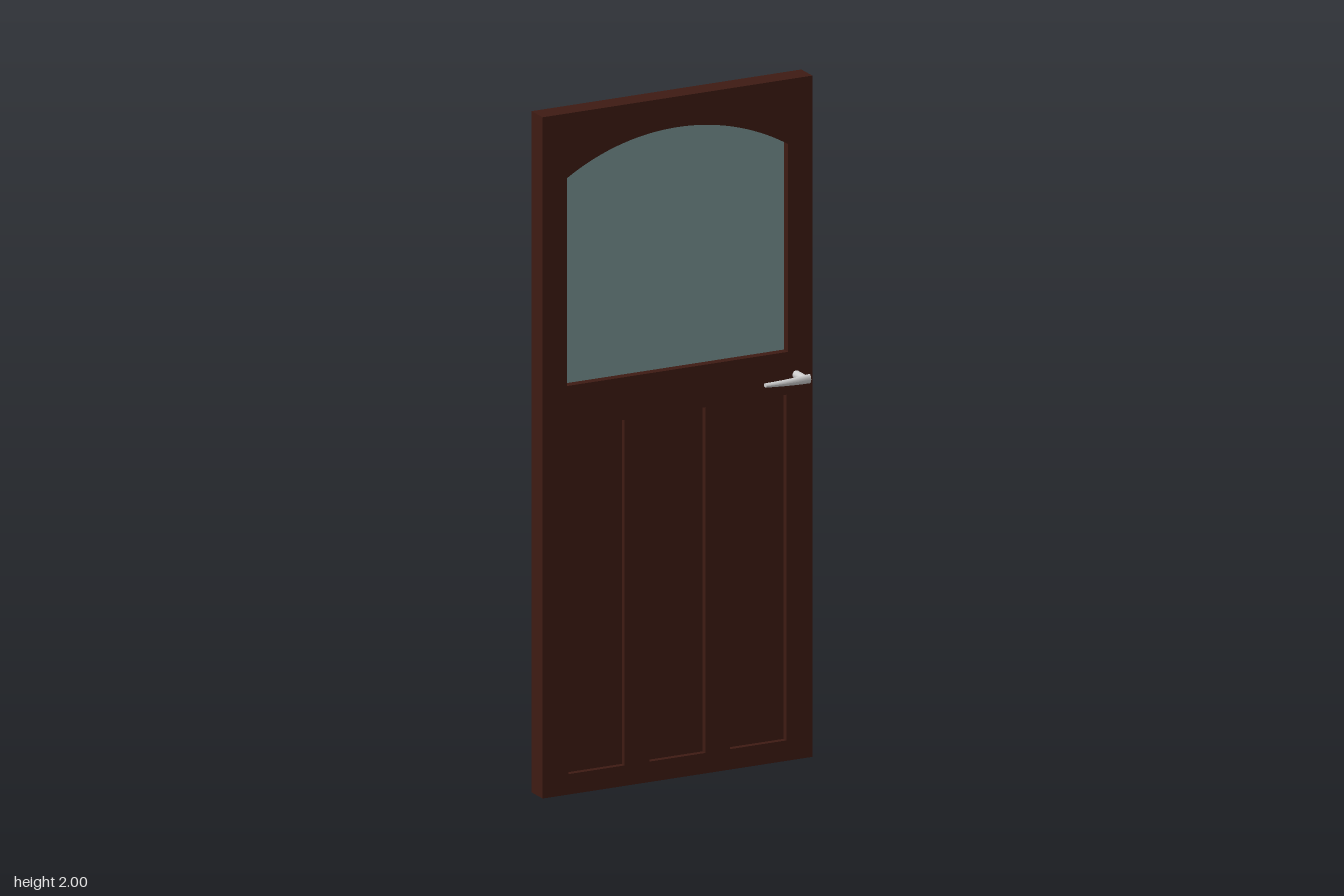
import * as THREE from 'three';

const WIDTH = 0.854, HEIGHT = 2, DEPTH = 0.066;

// Rectangle outline, used for the door slab and its panel openings
function rect(target, x0, x1, y0, y1) {
  target.moveTo(x0, y0);
  target.lineTo(x1, y0);
  target.lineTo(x1, y1);
  target.lineTo(x0, y1);
  target.closePath();
  return target;
}

// Window outline with a shallow circular arch on top
function archedWindow(target) {
  const half = 0.35, sill = 1.2, spring = 1.81, crown = 1.91;
  const rise = crown - spring;
  const radius = (half * half + rise * rise) / (2 * rise);
  const angle = Math.asin(half / radius);
  target.moveTo(-half, sill);
  target.lineTo(half, sill);
  target.lineTo(half, spring);
  target.absarc(0, crown - radius, radius, Math.PI / 2 - angle, Math.PI / 2 + angle, false);
  target.closePath();
  return target;
}

function extrude(shape, depth) {
  const geo = new THREE.ExtrudeGeometry(shape, { depth, bevelEnabled: false, curveSegments: 32 });
  return geo.translate(0, 0, -depth / 2);
}

// Lever grip: a cylinder laid along x, tapered in height and bowed outwards
function gripGeometry() {
  const x0 = 0.25, x1 = 0.391;
  const geo = new THREE.CylinderGeometry(1, 1, 1, 24, 16);
  const pos = geo.attributes.position;
  for (let i = 0; i < pos.count; i++) {
    const t = pos.getY(i) + 0.5; // 0 at the spindle, 1 at the tip
    const ry = THREE.MathUtils.lerp(0.0135, 0.006, t);
    const rz = THREE.MathUtils.lerp(0.0095, 0.008, t);
    const bow = 0.004 * Math.sin(Math.PI * t);
    const a = pos.getX(i), b = pos.getZ(i);
    pos.setXYZ(i, THREE.MathUtils.lerp(x1, x0, t), a * ry, b * rz + bow);
  }
  geo.computeVertexNormals();
  return geo;
}

export function createModel() {
  const door = new THREE.Group();
  door.name = 'door';
  const wood = new THREE.MeshStandardMaterial({ color: 0x3e1b13 });
  const glass = new THREE.MeshStandardMaterial({ color: 0x7a9594 });
  const metal = new THREE.MeshStandardMaterial({ color: 0xcccccc });

  const add = (parent, name, geometry, material) => {
    const mesh = new THREE.Mesh(geometry, material);
    mesh.name = name;
    parent.add(mesh);
    return mesh;
  };

  // Frame with openings for the window and three lower panels
  const panels = [[-0.345, -0.167], [-0.088, 0.088], [0.167, 0.345]];
  const y0 = 0.06, y1 = 1.075;
  const outline = rect(new THREE.Shape(), -WIDTH / 2, WIDTH / 2, 0, HEIGHT);
  outline.holes.push(archedWindow(new THREE.Path()));
  for (const [x0, x1] of panels) outline.holes.push(rect(new THREE.Path(), x0, x1, y0, y1));
  add(door, 'doorFrame', extrude(outline, DEPTH), wood);

  // Recessed panels, tucked slightly into the frame
  for (const [x0, x1] of panels) {
    const panel = add(door, 'recessedPanel',
      new THREE.BoxGeometry(x1 - x0 + 0.01, y1 - y0 + 0.01, 0.032), wood);
    panel.position.set((x0 + x1) / 2, (y0 + y1) / 2, 0);
  }

  // Window pane
  add(door, 'windowPane', extrude(archedWindow(new THREE.Shape()), 0.016), glass);

  // Lever handle: one spindle through the door and a grip on each face
  const handle = new THREE.Group();
  handle.name = 'handle';
  handle.position.y = 1.13;
  door.add(handle);
  const spindle = add(handle, 'spindle', new THREE.CylinderGeometry(0.012, 0.012, 0.17, 24), metal);
  spindle.rotation.x = Math.PI / 2;
  spindle.position.x = 0.376;

  add(handle, 'frontGrip', gripGeometry(), metal).position.z = 0.086;
  // The rear grip mirrors the front one
  const rear = add(handle, 'rearGrip', gripGeometry(), metal);
  rear.scale.z = -1;
  rear.position.z = -0.086;

  return door;
}
